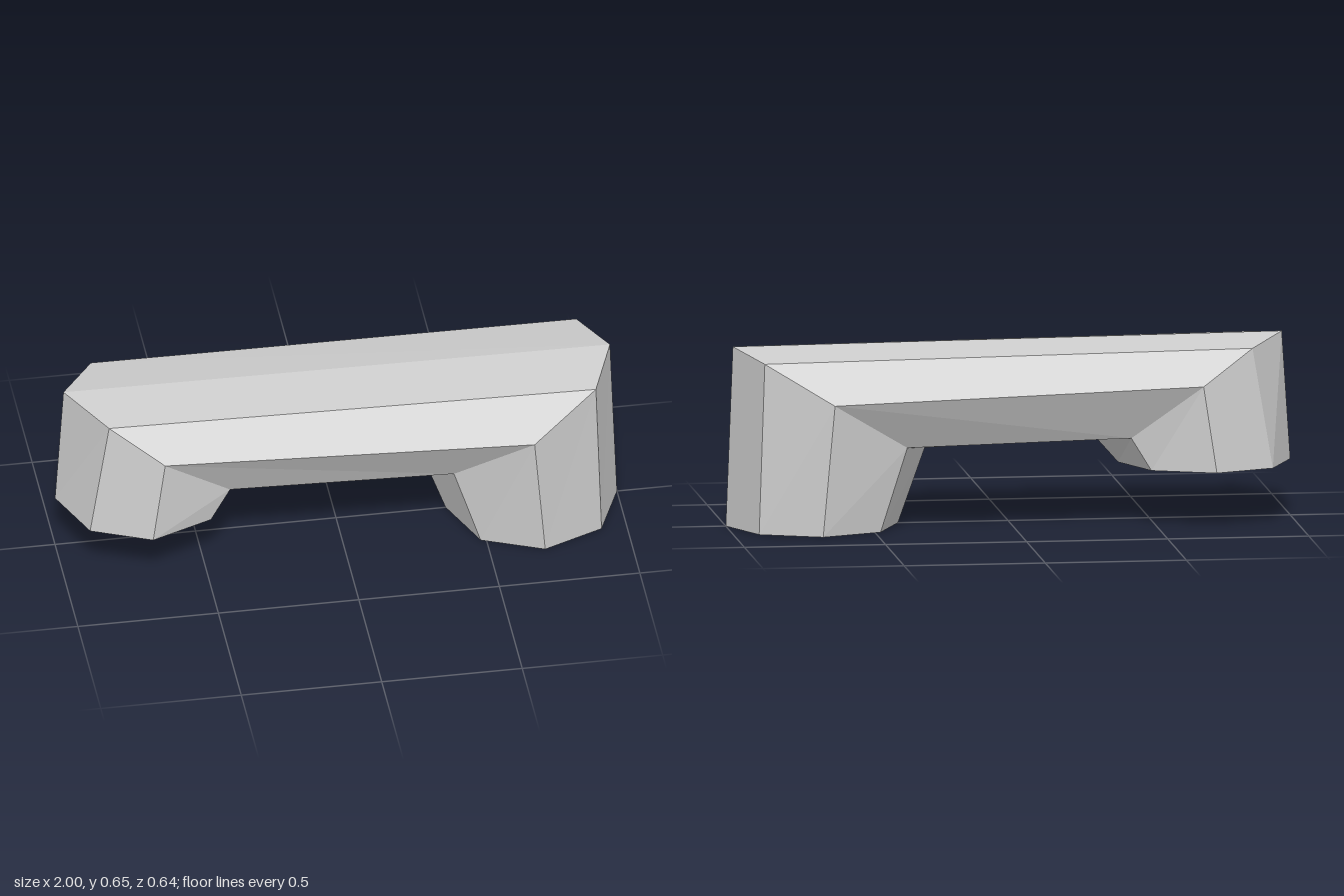
import * as THREE from 'three';

// Half cross-sections from the outer edge to the inner edge: [x, y, z]; mirrored in z to an octagon
const SECTIONS = [
  [[-1, 0.2, 0], [-0.91, 0.2, 0.215], [-0.7, 0.2, 0.305], [-0.48, 0.2, 0.215], [-0.39, 0.2, 0]],
  [[-0.97, 0.655, 0], [-0.84, 0.625, 0.2], [-0.655, 0.505, 0.29], [-0.41, 0.315, 0.205], [-0.31, 0.29, 0]],
  [[0.975, 0.637, 0], [0.89, 0.605, 0.215], [0.655, 0.467, 0.32], [0.385, 0.298, 0.215], [0.295, 0.265, 0]],
  [[1, 0, 0], [0.91, 0, 0.215], [0.695, 0, 0.305], [0.48, 0, 0.215], [0.39, 0, 0]],
];

// Full octagonal ring from a half section
function ring(half) {
  const back = half.slice(1, 4).reverse().map(([x, y, z]) => [x, y, -z]);
  return [...half, ...back];
}

// Open, flat-faced skin between two rings
function segment(name, a, b, material) {
  const pos = [];
  for (let i = 0; i < 8; i++) {
    const j = (i + 1) % 8;
    pos.push(...a[i], ...a[j], ...b[j], ...a[i], ...b[j], ...b[i]);
  }
  const geometry = new THREE.BufferGeometry();
  geometry.setAttribute('position', new THREE.Float32BufferAttribute(pos, 3));
  geometry.computeVertexNormals();
  const mesh = new THREE.Mesh(geometry, material);
  mesh.name = name;
  return mesh;
}

export function createModel() {
  const group = new THREE.Group();
  group.name = 'bentPipe';
  const grey = new THREE.MeshStandardMaterial({ color: 0xcccccc, side: THREE.DoubleSide, flatShading: true });
  grey.name = 'light grey';

  // Short leg, crossbeam and long leg; both leg ends are open
  const rings = SECTIONS.map(ring);
  ['shortLeg', 'crossbeam', 'longLeg'].forEach((name, k) => {
    group.add(segment(name, rings[k], rings[k + 1], grey));
  });
  return group;
}
